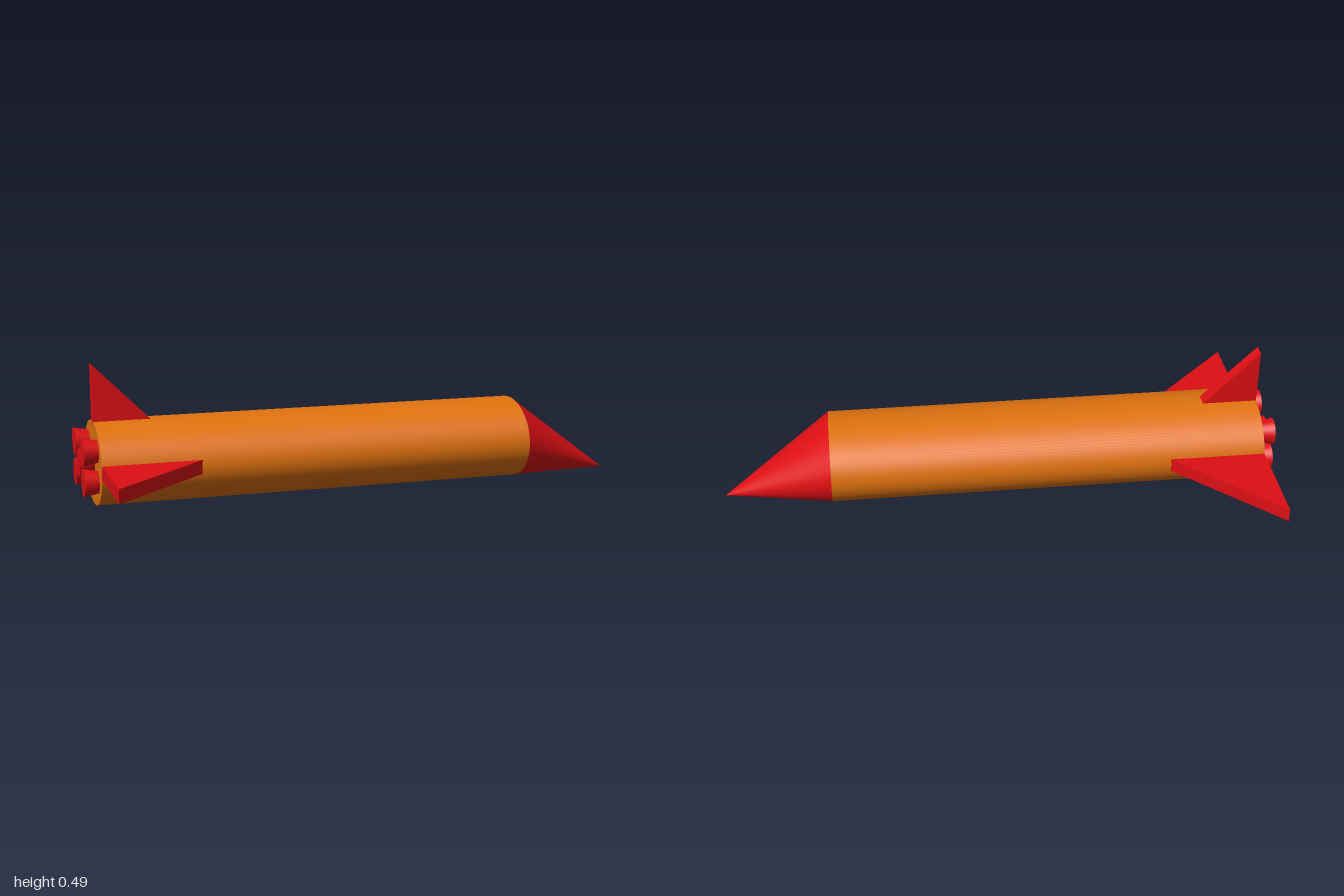
import * as THREE from 'three';

const ORANGE = new THREE.MeshStandardMaterial({ color: 0xe0720f });
const RED = new THREE.MeshStandardMaterial({ color: 0xdd0f14 });
const MID = 0.147, RY = 0.146, RZ = 0.195; // hull centre height and half sizes
const TAIL = -0.95, SHOULDER = 0.605, TIP = 0.995;

function part(name, geometry, material) {
  const mesh = new THREE.Mesh(geometry, material);
  mesh.name = name;
  return mesh;
}

// Round section along x from x0 to x1, with an oval scale of ry by rz
function barrel(x0, x1, r0, r1, ry, rz, segments) {
  const g = new THREE.CylinderGeometry(r1, r0, x1 - x0, segments, 1);
  g.rotateZ(-Math.PI / 2);
  g.scale(1, ry, rz);
  g.translate((x0 + x1) / 2, 0, 0);
  return g;
}

// Right-angled triangular fin in the xy plane, its root sunk slightly into the hull
function finGeometry(length, span, thickness) {
  const sink = 0.012;
  const shape = new THREE.Shape([
    new THREE.Vector2(0, -sink),
    new THREE.Vector2(length, -sink),
    new THREE.Vector2(length, 0),
    new THREE.Vector2(0, span),
  ]);
  const g = new THREE.ExtrudeGeometry(shape, { depth: thickness, bevelEnabled: false });
  g.translate(TAIL, 0, -thickness / 2);
  return g;
}

export function createModel() {
  const model = new THREE.Group();
  model.name = 'rocket';

  // Oval hull
  const hull = part('hull', barrel(TAIL, SHOULDER, 1, 1, RY, RZ, 96), ORANGE);
  hull.position.y = MID;
  model.add(hull);

  // Nose cone, sheared so that its tip drops to the ground line
  const nose = barrel(0, TIP - SHOULDER, 1, 0, RY, RZ, 96);
  const drop = -RY / (TIP - SHOULDER);
  nose.applyMatrix4(new THREE.Matrix4().set(
    1, 0, 0, 0,
    drop, 1, 0, 0,
    0, 0, 1, 0,
    0, 0, 0, 1));
  nose.translate(SHOULDER, MID, 0);
  model.add(part('noseCone', nose, RED));

  // Upright tail fin
  const topFin = part('topFin', finGeometry(0.197, 0.197, 0.048), RED);
  topFin.position.y = MID + RY;
  model.add(topFin);

  // Larger fins on both sides
  for (const side of [1, -1]) {
    const fin = part(side > 0 ? 'frontFin' : 'backFin', finGeometry(0.342, 0.342, 0.048), RED);
    fin.rotation.x = side * Math.PI / 2;
    fin.position.set(0, MID, side * (RZ - 0.002));
    model.add(fin);
  }

  // Five flared engine nozzles: one in the middle and four around it
  const nozzles = new THREE.Group();
  nozzles.name = 'nozzles';
  for (const [y, z] of [[0, 0], [1, 1], [1, -1], [-1, 1], [-1, -1]]) {
    const nozzle = part('nozzle', barrel(-1, TAIL + 0.002, 0.048, 0.038, 1, 1, 32), RED);
    nozzle.position.set(0, MID + 0.004 + y * 0.053, z * 0.098);
    nozzles.add(nozzle);
  }
  model.add(nozzles);

  return model;
}
